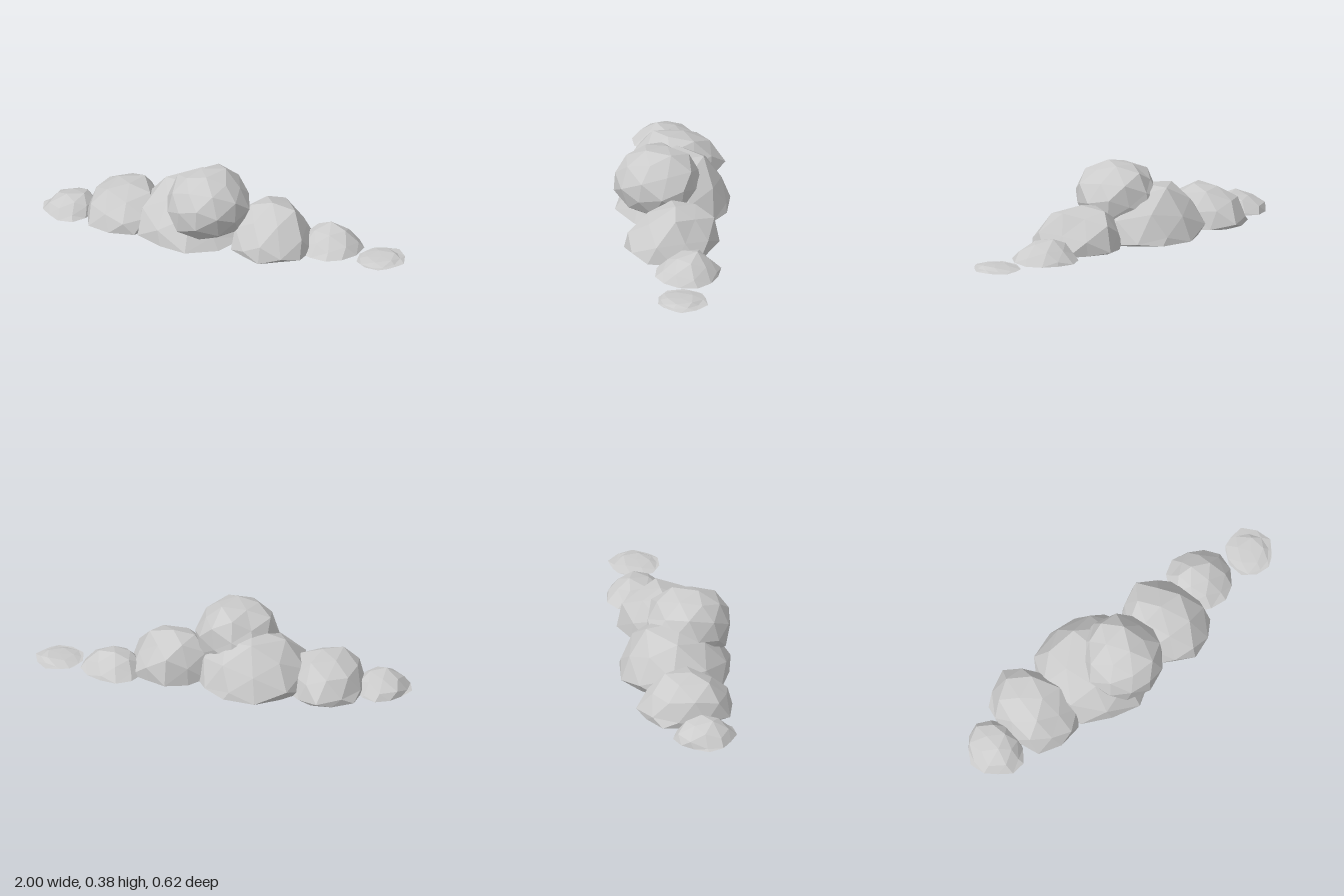
import * as THREE from 'three';

const material = new THREE.MeshStandardMaterial({ color: 0xcccccc, flatShading: true });

// Repeatable noise from a vertex direction, so coincident corners move together
function noise(v, seed) {
  const r = (n) => Math.round(n * 1000) / 1000;
  const s = Math.sin(r(v.x) * 12.99 + r(v.y) * 78.23 + r(v.z) * 37.72 + seed * 4.7) * 437.585;
  return s - Math.floor(s);
}

// Faceted ball, flattened below the cut (-1 = whole ball, 0 = half), fitted to a box.
// lean shifts the crown along x and z.
function puff(name, [x0, x1], [y0, y1], [z0, z1], cut, seed, [leanX, leanZ] = [0, 0]) {
  const geo = new THREE.IcosahedronGeometry(1, 1);
  const pos = geo.attributes.position;
  const turn = new THREE.Euler(seed * 0.9, seed * 1.7, seed * 0.5);
  const v = new THREE.Vector3();
  for (let i = 0; i < pos.count; i++) {
    v.fromBufferAttribute(pos, i);
    v.multiplyScalar(0.91 + 0.18 * noise(v, seed)).applyEuler(turn);
    pos.setXYZ(i, v.x, Math.max(v.y, cut), v.z);
  }
  geo.computeBoundingBox();
  const { min, max } = geo.boundingBox;
  const fit = (n, a, b, c, d) => c + ((n - a) / (b - a)) * (d - c);
  for (let i = 0; i < pos.count; i++) {
    v.fromBufferAttribute(pos, i);
    const y = fit(v.y, min.y, max.y, y0, y1);
    const rise = ((y - y0) / (y1 - y0)) ** 2;
    pos.setXYZ(i, fit(v.x, min.x, max.x, x0, x1) + leanX * rise, y,
      fit(v.z, min.z, max.z, z0, z1) + leanZ * rise);
  }
  geo.computeVertexNormals();
  const mesh = new THREE.Mesh(geo, material);
  mesh.name = name;
  return mesh;
}

export function createModel() {
  const cloud = new THREE.Group();
  cloud.name = 'cloud';
  cloud.add(
    // Large middle mass and the ball resting on it
    puff('middlePuff', [-0.46, 0.14], [0, 0.27], [-0.308, 0.3], 0.05, 3, [0, -0.03]),
    puff('topPuff', [-0.28, 0.165], [0.01, 0.385], [-0.15, 0.31], -1.2, 5),
    // Right side, shrinking outward
    puff('rightPuff', [-0.75, -0.34], [0, 0.195], [-0.3, 0.21], 0, 7),
    puff('rightEndPuff', [-1, -0.71], [0, 0.095], [-0.165, 0.17], 0.25, 2, [0.03, 0]),
    // Left side, shrinking outward
    puff('leftPuff', [0.07, 0.5], [0, 0.225], [-0.225, 0.275], 0.08, 4, [-0.02, -0.06]),
    puff('leftOuterPuff', [0.4, 0.745], [0, 0.115], [-0.22, 0.13], 0.2, 6, [-0.02, -0.02]),
    puff('leftEndPuff', [0.745, 1], [0, 0.02], [-0.13, 0.13], 0.45, 8, [0.03, 0]),
  );
  return cloud;
}
